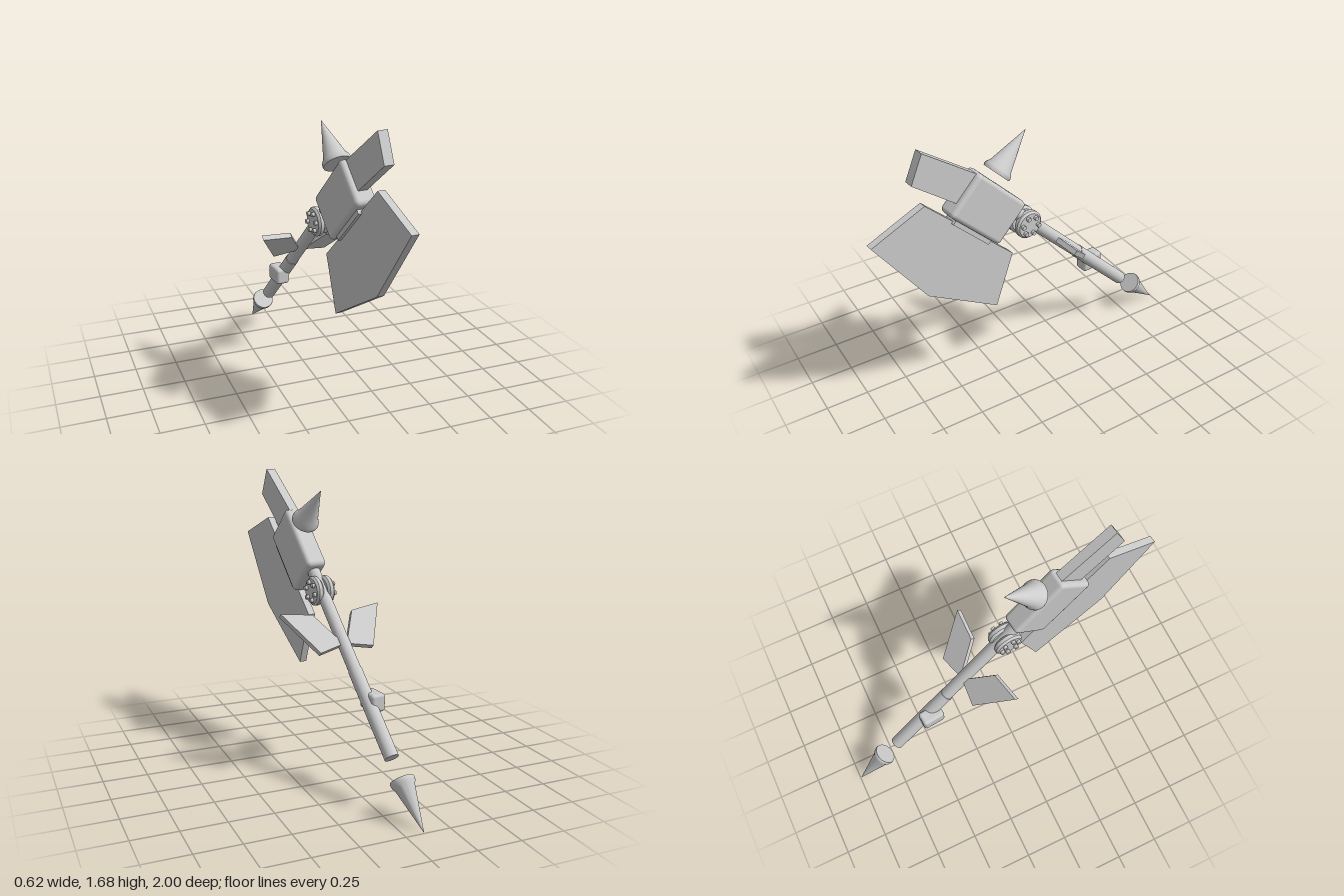
import * as THREE from 'three';
import { RoundedBoxGeometry } from 'three/addons/geometries/RoundedBoxGeometry.js';
import { toCreasedNormals } from 'three/addons/utils/BufferGeometryUtils.js';

const TILT = Math.PI / 4; // the shaft leans 45 degrees towards +z

export function createModel() {
  const metal = new THREE.MeshStandardMaterial({ color: 0xcccccc });
  metal.name = 'light grey';

  const model = new THREE.Group();
  model.name = 'axe';
  const axe = new THREE.Group();
  axe.name = 'yawedAxe';
  axe.rotation.y = 0.102;
  model.add(axe);

  function add(name, geometry, x, y, z, tilt = 0) {
    const mesh = new THREE.Mesh(geometry, metal);
    mesh.name = name;
    mesh.position.set(x, y, z);
    mesh.rotation.x = tilt;
    axe.add(mesh);
    return mesh;
  }

  // flat plate from outline points, centred on its thickness
  function plate(points, depth) {
    const shape = new THREE.Shape(points.map(([a, b]) => new THREE.Vector2(a, b)));
    return new THREE.ExtrudeGeometry(shape, { depth, bevelEnabled: false }).translate(0, 0, -depth / 2);
  }

  // outline given as (z, y), thickness along x
  const sidePlate = (points, depth) => plate(points, depth).rotateY(-Math.PI / 2);

  function lathe(points, sides = 32) {
    const profile = points.map(([r, h]) => new THREE.Vector2(r, h));
    return toCreasedNormals(new THREE.LatheGeometry(profile, sides), 0.6);
  }

  // Blade and the back plate
  add('blade', sidePlate([[0.69, 1.38], [1.003, 1.255], [0.71, 0.83], [0.275, 0.555], [0.16, 0.87]], 0.042), 0, 0, 0);
  add('backPlate', sidePlate([[0.687, 1.675], [0.757, 1.52], [0.46, 1.29], [0.33, 1.42]], 0.055), 0, 0, 0);

  // Head block with the collar that holds the blade
  add('head', new RoundedBoxGeometry(0.125, 0.41, 0.27, 2, 0.025), 0, 1.227, 0.324, TILT);
  add('bladeCollar', new THREE.BoxGeometry(0.08, 0.3, 0.06), 0, 1.227 - 0.092, 0.324 + 0.092, TILT);

  // Shaft in two sections along the line y = z + 0.991
  function shaftSection(name, z0, z1, radius) {
    const z = (z0 + z1) / 2;
    add(name, new THREE.CylinderGeometry(radius, radius, (z1 - z0) * Math.SQRT2, 32), 0, z + 0.991, z, TILT);
  }
  shaftSection('upperShaft', -0.33, 0.2, 0.036);
  shaftSection('lowerShaft', -0.703, -0.33, 0.039);

  // Joint discs with a ring of bolts on each side
  const discGeometry = lathe([[0, 0.012], [0.07, 0.012], [0.083, 0.024], [0.083, 0.044], [0.072, 0.056], [0, 0.056]]);
  const boltGeometry = new THREE.CylinderGeometry(0.013, 0.013, 0.026, 8);
  for (const side of [1, -1]) {
    const disc = add(side > 0 ? 'leftDisc' : 'rightDisc', discGeometry, 0, 1.03, 0.062);
    disc.rotation.z = -side * Math.PI / 2;
    for (let i = 0; i < 6; i++) {
      const a = (i / 6) * Math.PI * 2 + 0.2;
      const bolt = add('bolt', boltGeometry, side * 0.06, 1.03 + 0.052 * Math.sin(a), 0.062 + 0.052 * Math.cos(a));
      bolt.rotation.z = Math.PI / 2;
    }
  }

  // Swept guard wings, drawn as (x, distance along the shaft)
  for (const side of [1, -1]) {
    const outline = [[0.31, 0.127], [0.126, 0.099], [0.01, -0.106], [0.166, -0.143]];
    add(side > 0 ? 'leftWing' : 'rightWing', plate(outline.map(([x, s]) => [side * x, s]), 0.03), 0, 0.85, -0.141, TILT);
  }

  // Grip block on the lower shaft
  add('gripBlock', new RoundedBoxGeometry(0.085, 0.1, 0.135, 2, 0.018), -0.032, 0.523, -0.46);

  // Floating spikes with a rounded rim
  const spike = (r, length) =>
    lathe([[0, 0], [r * 0.97, 0], [r, 0.01], [r * 0.96, 0.025], [r * 0.8, 0.045], [0, length]]);
  add('topSpike', spike(0.08, 0.273), 0, 1.4, 0.242, -TILT);
  add('pommelSpike', spike(0.067, 0.29), 0, 0.205, -0.798, -3 * TILT);

  return model;
}
